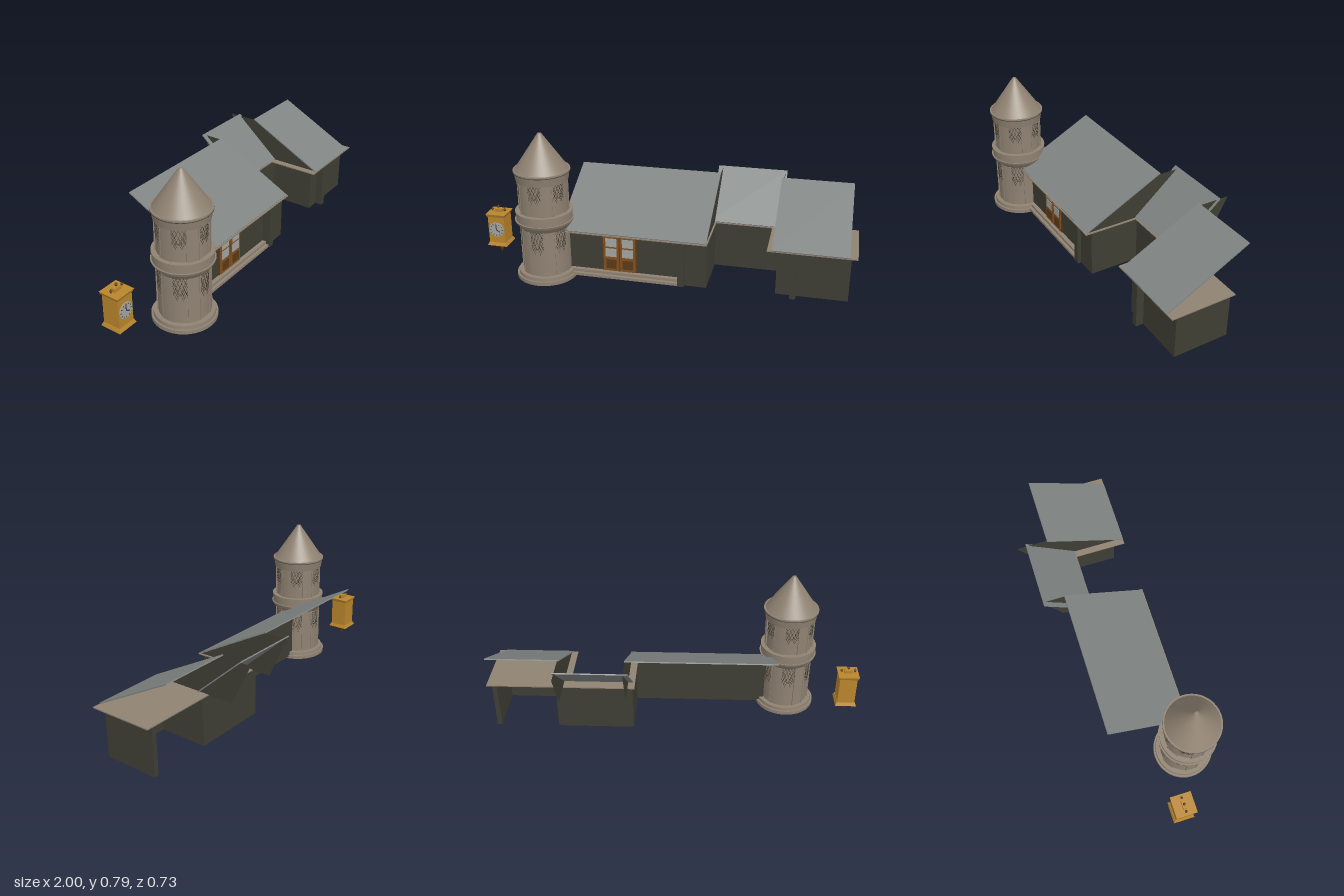
import * as THREE from 'three';

const mat = (name, hex, side = THREE.FrontSide) => {
  const m = new THREE.MeshStandardMaterial({ color: hex, side });
  m.name = name;
  return m;
};

export function createModel() {
  const wall = mat('dark wall', 0x3f3e34, THREE.DoubleSide);
  const stone = mat('stone', 0x8f8272);
  const slate = mat('slate', 0x7f8482);
  const gold = mat('gold', 0xb9852c);
  const wood = mat('door wood', 0x84501f);
  const darkWood = mat('dark wood', 0x5a3a18);
  const glass = mat('glass', 0xa3a6a4);
  const dark = mat('dark trim', 0x453d33);

  const model = new THREE.Group();
  const add = (parent, name, geo, material, x = 0, y = 0, z = 0) => {
    const mesh = new THREE.Mesh(geo, material);
    mesh.name = name;
    mesh.position.set(x, y, z);
    parent.add(mesh);
    return mesh;
  };
  // box given by its limits
  const block = (parent, name, material, x0, x1, y0, y1, z0, z1) =>
    add(parent, name, new THREE.BoxGeometry(x1 - x0, y1 - y0, z1 - z0), material,
      (x0 + x1) / 2, (y0 + y1) / 2, (z0 + z1) / 2);

  // ---- house walls ----
  const house = new THREE.Group();
  house.name = 'house';
  model.add(house);
  block(house, 'mainWall', wall, -0.5, 0.25, 0.01, 0.265, 0.16, 0.185);
  block(house, 'mainCornerWall', wall, 0.135, 0.25, 0.01, 0.265, 0.16, 0.21);
  block(house, 'mainPillar', wall, 0.1, 0.135, 0.01, 0.265, 0.185, 0.23);
  block(house, 'mainSideWall', wall, 0.22, 0.25, 0.01, 0.265, -0.107, 0.19);
  block(house, 'middleWall', wall, 0.22, 0.62, 0.01, 0.265, -0.107, -0.06);
  block(house, 'wingLeftWall', wall, 0.605, 0.63, 0.01, 0.265, -0.107, 0.19);
  block(house, 'wingFrontWall', wall, 0.605, 0.97, 0.01, 0.265, 0.16, 0.19);
  block(house, 'wingRightWall', wall, 0.945, 0.97, 0.01, 0.265, -0.107, 0.19);
  block(house, 'wingPillar', wall, 0.68, 0.71, 0.01, 0.265, 0.187, 0.23);

  // ---- ceiling slabs and steps ----
  block(house, 'mainCeiling', stone, -0.5, 0.255, 0.265, 0.271, 0.145, 0.245);
  block(house, 'sideCeiling', stone, 0.21, 0.255, 0.265, 0.271, -0.11, 0.145);
  block(house, 'middleCeiling', stone, 0.255, 0.555, 0.265, 0.271, -0.11, -0.048);
  block(house, 'wingCeiling', stone, 0.555, 1.0, 0.265, 0.271, -0.11, 0.235);
  block(house, 'lowerStep', stone, -0.55, 0.1, 0.01, 0.025, 0.17, 0.225);
  block(house, 'upperStep', stone, -0.55, 0.1, 0.025, 0.04, 0.17, 0.208);

  // ---- sloping roofs ----
  const roof = (name, x0, x1, zFront, zBack) => {
    const rise = 0.225, run = zFront - zBack;
    const mesh = add(house, name, new THREE.BoxGeometry(x1 - x0, 0.006, Math.hypot(rise, run)), slate,
      (x0 + x1) / 2, 0.272 + rise / 2, (zFront + zBack) / 2);
    mesh.rotation.x = Math.atan2(rise, run);
  };
  roof('mainRoof', -0.53, 0.25, 0.238, -0.197);
  roof('middleRoof', 0.222, 0.6, -0.052, -0.312);
  roof('wingRoof', 0.58, 0.96, 0.235, -0.197);

  // upright gable sheets between the roofs, outline in (z, y)
  const gable = (x, topBack, bottomBack) => {
    const s = new THREE.Shape([[0.235, 0.268], [-0.19, 0.49], [topBack, 0.49], [bottomBack, 0.268]]
      .map(([z, y]) => new THREE.Vector2(-z, y)));
    add(house, 'gable', new THREE.ShapeGeometry(s), wall, x).rotation.y = Math.PI / 2;
  };
  gable(0.247, -0.32, -0.215);
  gable(0.59, -0.365, -0.248);

  // ---- double door ----
  const door = new THREE.Group();
  door.name = 'door';
  house.add(door);
  block(door, 'doorFrame', darkWood, -0.313, -0.125, 0.04, 0.248, 0.18, 0.189);
  for (const x of [-0.306, -0.216]) {
    block(door, 'doorLeaf', wood, x, x + 0.084, 0.042, 0.242, 0.186, 0.193);
    block(door, 'lowerPanel', darkWood, x + 0.014, x + 0.07, 0.056, 0.108, 0.19, 0.195);
    for (const y of [0.125, 0.183])
      block(door, 'doorPane', glass, x + 0.012, x + 0.072, y, y + 0.048, 0.19, 0.195);
  }

  // ---- round tower ----
  const tower = new THREE.Group();
  tower.name = 'tower';
  tower.position.set(-0.62, 0, 0.205);
  model.add(tower);
  // each row is one straight band: radius and height at both ends
  const bands = [
    [0.162, 0, 0.162, 0.02], [0.152, 0.02, 0.15, 0.038], [0.126, 0.038, 0.126, 0.29],
    [0.128, 0.285, 0.15, 0.315], [0.15, 0.315, 0.155, 0.328], [0.147, 0.328, 0.147, 0.37],
    [0.151, 0.368, 0.151, 0.376], [0.126, 0.376, 0.126, 0.546], [0.136, 0.545, 0.143, 0.59],
    [0.147, 0.592, 0.147, 0.6], [0.138, 0.6, 0.01, 0.788],
  ];
  bands.forEach(([r0, y0, r1, y1], i) => add(tower, i === bands.length - 1 ? 'towerRoof' : 'towerBand',
    new THREE.CylinderGeometry(r1, r0, y1 - y0, 40), stone, 0, (y0 + y1) / 2, 0));
  for (const y of [0.373, 0.594])
    add(tower, 'shadowLine', new THREE.CylinderGeometry(0.1475, 0.1475, 0.003, 40), dark, 0, y - 0.003, 0);

  // raised piers between six panels, and lattice in the head of each panel
  const helix = (a0, y0, a1, y1) => {
    const pts = [0, 0.33, 0.67, 1].map(t => {
      const a = a0 + (a1 - a0) * t;
      return new THREE.Vector3(Math.sin(a) * 0.1265, y0 + (y1 - y0) * t, Math.cos(a) * 0.1265);
    });
    return new THREE.TubeGeometry(new THREE.CatmullRomCurve3(pts), 5, 0.0011, 3);
  };
  for (const [y0, y1, depth] of [[0.04, 0.29, 0.1], [0.376, 0.546, 0.08]]) {
    for (let i = 0; i < 6; i++) {
      const a = i * Math.PI / 3, half = 0.27;
      add(tower, 'pier', new THREE.CylinderGeometry(0.13, 0.13, y1 - y0, 6, 1, true,
        a + half + 0.03, Math.PI / 3 - 2 * half - 0.06), stone, 0, (y0 + y1) / 2, 0);
      for (const s of [-1, 1]) {
        const b = a + s * (half + 0.025);
        add(tower, 'pierEdge', new THREE.BoxGeometry(0.006, y1 - y0, 0.01), stone,
          Math.sin(b) * 0.128, (y0 + y1) / 2, Math.cos(b) * 0.128).rotation.y = b;
        // diagonal bars, each crossing half the panel
        for (let k = 0; k < 4; k++) {
          const from = a - s * half + s * k * half / 2;
          add(tower, 'lattice', helix(from, y1 - 0.004, Math.min(1, (4 - k) / 2) * s * half + from, 
            y1 - depth * Math.min(1, (4 - k) / 2)), dark);
          if (k) add(tower, 'lattice', helix(a - s * half, y1 - depth * k / 4, a - s * half + s * half * (1 - k / 8),
            y1 - depth * (k / 4 + 0.9 - k / 8)), dark);
        }
      }
    }
  }

  // ---- hanging clock ----
  const clock = new THREE.Group();
  clock.name = 'clock';
  clock.position.set(-0.942, 0, 0.077);
  model.add(clock);
  const frustum = (name, w1, w0, y0, y1, material) => {
    const g = new THREE.CylinderGeometry(w1 / Math.SQRT2, w0 / Math.SQRT2, y1 - y0, 4).rotateY(Math.PI / 4).toNonIndexed();
    g.computeVertexNormals();
    return add(clock, name, g, material, 0, (y0 + y1) / 2, 0);
  };
  frustum('clockBody', 0.094, 0.094, 0.1, 0.262, gold);
  frustum('clockCornice', 0.112, 0.1, 0.256, 0.272, gold);
  frustum('clockFoot', 0.098, 0.114, 0.086, 0.104, gold);
  frustum('clockTaper', 0.1, 0.03, 0.056, 0.086, darkWood);
  add(clock, 'bottomFinial', new THREE.SphereGeometry(0.011, 12, 8), darkWood, 0, 0.05, 0);
  add(clock, 'bottomTip', new THREE.ConeGeometry(0.008, 0.024, 10).rotateX(Math.PI), darkWood, 0, 0.034, 0);
  // crest with three finials
  block(clock, 'clockCrest', gold, -0.022, 0.022, 0.27, 0.29, -0.01, 0.01);
  for (const [x, y] of [[-0.036, 0.285], [0, 0.302], [0.036, 0.285]]) {
    add(clock, 'finial', new THREE.SphereGeometry(0.007, 10, 8), darkWood, x, y, 0);
    add(clock, 'finialStem', new THREE.CylinderGeometry(0.003, 0.004, 0.022, 8), gold, x, y - 0.01, 0);
    add(clock, 'finialTip', new THREE.ConeGeometry(0.003, 0.01, 8), darkWood, x, y + 0.01, 0);
  }
  // dial, hour marks and hands
  add(clock, 'dial', new THREE.CylinderGeometry(0.042, 0.042, 0.006, 32).rotateX(Math.PI / 2), glass, 0, 0.182, 0.048);
  for (let i = 0; i < 12; i++) {
    const a = i * Math.PI / 6;
    add(clock, 'hourMark', new THREE.BoxGeometry(0.003, 0.008, 0.002), dark,
      Math.sin(a) * 0.034, 0.182 + Math.cos(a) * 0.034, 0.0515).rotation.z = -a;
  }
  for (const [a, len] of [[0, 0.03], [2.1, 0.024]])
    add(clock, 'clockHand', new THREE.BoxGeometry(0.005, len, 0.002), dark,
      Math.sin(a) * len / 2, 0.182 + Math.cos(a) * len / 2, 0.052).rotation.z = -a;

  return model;
}
